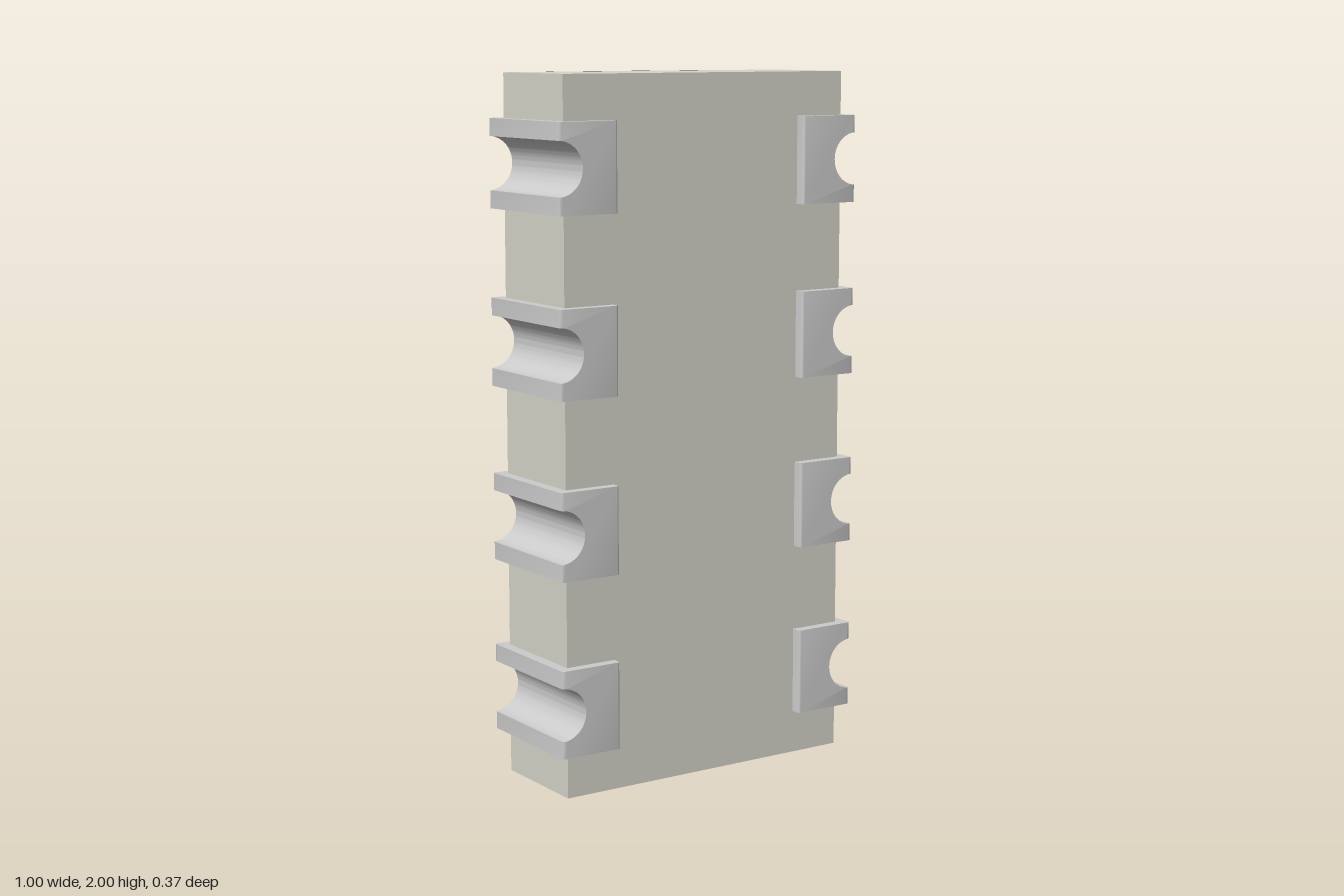
import * as THREE from 'three';
import { toCreasedNormals } from 'three/addons/utils/BufferGeometryUtils.js';

const ROWS = [0.25, 0.75, 1.25, 1.75];
const BODY_X = 0.468, BODY_Z = 0.157;   // half sizes of the ceramic body
const IN_X = 0.3125, OUT_X = 0.5;       // inner and outer edge of a terminal
const TERM_Z = 0.187, TERM_H = 0.125;   // half depth and half height of a terminal
const NOTCH_R = 0.075, ROUND = 0.008;

// Ceramic slab, cut back where the terminals wrap around its edges
function bodyGeometry() {
  const s = new THREE.Shape();
  s.moveTo(-BODY_X, 0);
  s.lineTo(BODY_X, 0);
  const side = (sign, rows) => {
    for (const y of rows) {
      s.lineTo(sign * BODY_X, y - sign * 0.1);
      s.lineTo(sign * 0.4, y - sign * 0.1);
      s.lineTo(sign * 0.4, y + sign * 0.1);
      s.lineTo(sign * BODY_X, y + sign * 0.1);
    }
  };
  side(1, ROWS);
  s.lineTo(BODY_X, 2);
  s.lineTo(-BODY_X, 2);
  side(-1, [...ROWS].reverse());
  s.closePath();
  const g = new THREE.ExtrudeGeometry(s, { depth: 2 * BODY_Z, bevelEnabled: false });
  return g.translate(0, 0, -BODY_Z);
}

// Terminal block with a half-round notch; its edges along y are slightly rounded
function terminalGeometry() {
  const s = new THREE.Shape();
  s.moveTo(IN_X, -TERM_H);
  s.lineTo(OUT_X, -TERM_H);
  s.lineTo(OUT_X, -NOTCH_R);
  s.absarc(OUT_X, 0, NOTCH_R, -Math.PI / 2, -Math.PI * 1.5, true);
  s.lineTo(OUT_X, TERM_H);
  s.lineTo(IN_X, TERM_H);
  s.closePath();
  const g = new THREE.ExtrudeGeometry(s, { depth: 7, steps: 7, curveSegments: 20, bevelEnabled: false });
  const p = g.attributes.position;
  for (let i = 0; i < p.count; i++) {
    const layer = Math.round(p.getZ(i));
    const a = (Math.min(layer, 7 - layer) / 3) * Math.PI / 2;
    const inset = ROUND * (1 - Math.sin(a));
    const z = TERM_Z - ROUND + ROUND * Math.cos(a);
    p.setX(i, THREE.MathUtils.clamp(p.getX(i), IN_X + inset, OUT_X - inset));
    p.setZ(i, layer < 4 ? -z : z);
  }
  return toCreasedNormals(g, 0.6);
}

export function createModel() {
  const model = new THREE.Group();
  const add = (name, geometry, color) => {
    const mesh = new THREE.Mesh(geometry, new THREE.MeshStandardMaterial({ color }));
    mesh.name = name;
    model.add(mesh);
    return mesh;
  };

  add('ceramicBody', bodyGeometry(), 0xd5d4c9);

  // Dark coating on the back
  const coating = add('backCoating', new THREE.BoxGeometry(2 * IN_X, 2, TERM_Z - BODY_Z), 0x4a4a50);
  coating.position.set(0, 1, -(TERM_Z + BODY_Z) / 2);

  // Four terminals down each side
  const terminal = terminalGeometry();
  ROWS.forEach((y, i) => {
    add(`leftTerminal${i + 1}`, terminal, 0xcccccc).position.y = y;
    const right = add(`rightTerminal${i + 1}`, terminal, 0xcccccc);
    right.position.y = y;
    right.rotation.z = Math.PI;
  });
  return model;
}
